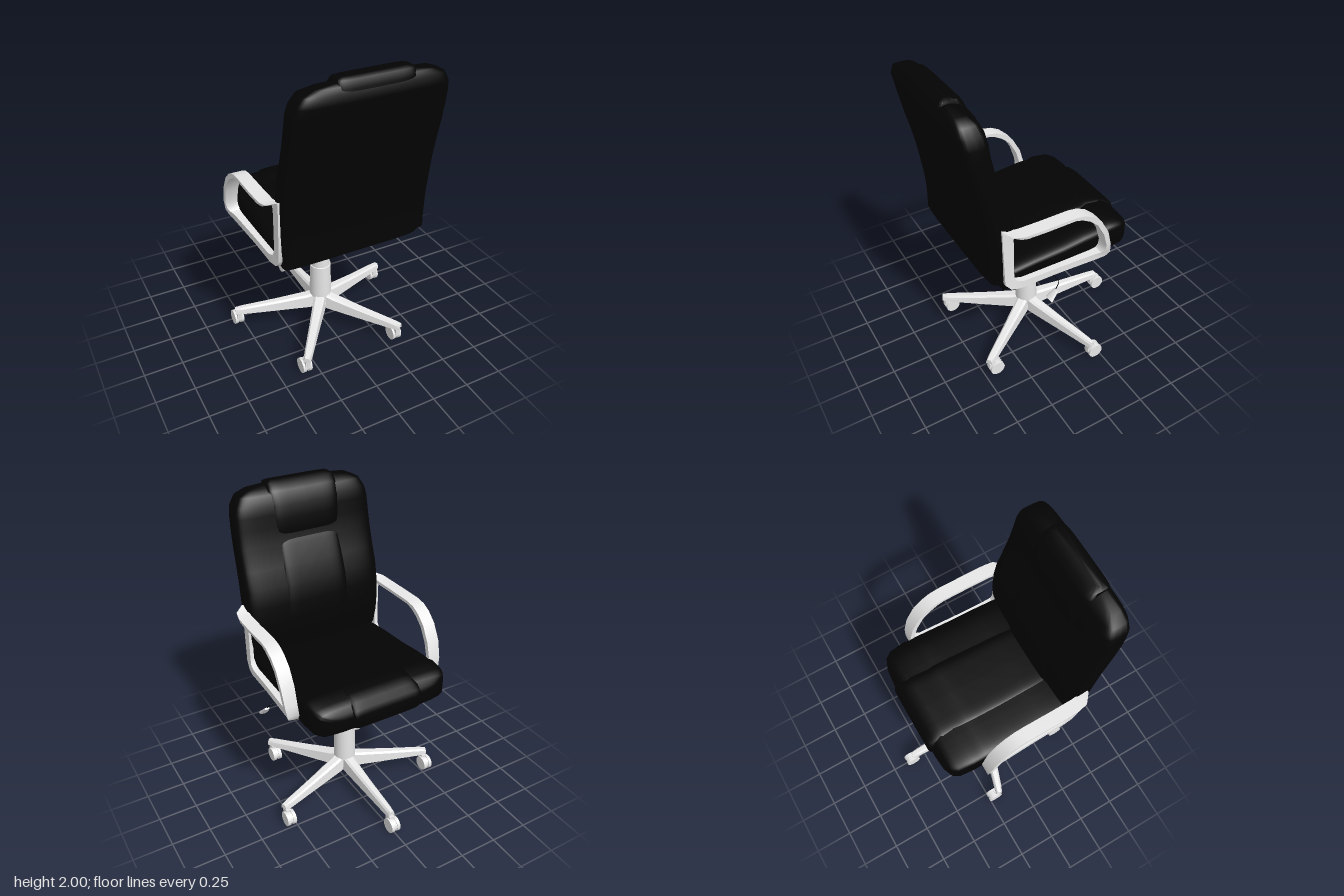
import * as THREE from 'three';
import { toCreasedNormals } from 'three/addons/utils/BufferGeometryUtils.js';

const black = new THREE.MeshStandardMaterial({ color: 0x030303 });
black.name = 'black upholstery';
const grey = new THREE.MeshStandardMaterial({ color: 0xefefef });
grey.name = 'light grey plastic';

function add(parent, name, geometry, material, x = 0, y = 0, z = 0) {
  const mesh = new THREE.Mesh(geometry, material);
  mesh.name = name;
  mesh.position.set(x, y, z);
  parent.add(mesh);
  return mesh;
}

// Joins equal-length rings of points into a skin; open lofts get end caps.
function loft(rings, closed, crease) {
  const n = rings[0].length, pos = [], idx = [];
  rings.forEach(r => r.forEach(p => pos.push(p[0], p[1], p[2])));
  const spans = closed ? rings.length : rings.length - 1;
  for (let i = 0; i < spans; i++) {
    for (let j = 0; j < n; j++) {
      const a = i * n + j, b = i * n + (j + 1) % n;
      const k = ((i + 1) % rings.length) * n;
      const c = k + (j + 1) % n, d = k + j;
      idx.push(a, b, c, a, c, d);
    }
  }
  if (!closed) {
    [0, rings.length - 1].forEach((i, end) => {
      const mid = [0, 1, 2].map(c => rings[i].reduce((s, p) => s + p[c], 0) / n);
      const pole = pos.length / 3;
      pos.push(...mid);
      for (let j = 0; j < n; j++) {
        const a = i * n + j, b = i * n + (j + 1) % n;
        if (end) idx.push(pole, a, b);
        else idx.push(pole, b, a);
      }
    });
  }
  const g = new THREE.BufferGeometry();
  g.setAttribute('position', new THREE.Float32BufferAttribute(pos, 3));
  g.setIndex(idx);
  g.computeVertexNormals();
  return toCreasedNormals(g, crease);
}

// Padded shape: rows of [station, low, high, half width] with rounded-box sections.
function cushion(rows, power, place) {
  const curve = (v) => Math.sign(v) * Math.abs(v) ** (2 / power);
  const rings = rows.map(([t, lo, hi, w]) => {
    const ring = [];
    for (let j = 0; j < 48; j++) {
      const a = j / 48 * Math.PI * 2;
      ring.push(place(w * curve(Math.cos(a)), (lo + hi) / 2 + (hi - lo) / 2 * curve(Math.sin(a)), t));
    }
    return ring;
  });
  return loft(rings, false, 0.9);
}
const upright = (x, b, t) => [x, t, b];
const flat = (x, b, t) => [x, b, t];

function buildUpholstery(chair) {
  add(chair, 'backrest', cushion([
    [1.978, 0.56, 0.6, 0.22], [1.964, 0.52, 0.622, 0.35], [1.935, 0.48, 0.638, 0.415],
    [1.88, 0.455, 0.642, 0.448], [1.82, 0.445, 0.628, 0.461], [1.75, 0.438, 0.613, 0.465],
    [1.63, 0.415, 0.588, 0.468], [1.5, 0.375, 0.558, 0.47], [1.39, 0.335, 0.537, 0.472],
    [1.28, 0.318, 0.52, 0.474], [1.15, 0.31, 0.503, 0.472], [1.05, 0.318, 0.495, 0.47],
    [0.95, 0.34, 0.494, 0.465], [0.89, 0.38, 0.494, 0.46]], 5, upright), black);
  add(chair, 'headPad', cushion([
    [2.0, 0.55, 0.59, 0.2], [1.99, 0.505, 0.62, 0.225], [1.95, 0.472, 0.64, 0.235],
    [1.87, 0.438, 0.63, 0.235], [1.79, 0.43, 0.6, 0.233], [1.71, 0.423, 0.58, 0.228],
    [1.675, 0.43, 0.57, 0.22]], 6, upright), black);
  add(chair, 'lumbarPad', cushion([
    [1.675, 0.43, 0.56, 0.21], [1.63, 0.406, 0.55, 0.215], [1.5, 0.36, 0.53, 0.22],
    [1.39, 0.321, 0.51, 0.225], [1.28, 0.305, 0.49, 0.23], [1.18, 0.298, 0.485, 0.23],
    [1.08, 0.302, 0.48, 0.23], [0.95, 0.325, 0.47, 0.23]], 6, upright), black);
  add(chair, 'seat', cushion([
    [-0.497, 0.86, 0.92, 0.28], [-0.488, 0.83, 0.95, 0.37], [-0.462, 0.81, 0.98, 0.43],
    [-0.42, 0.8, 1.0, 0.455], [-0.32, 0.8, 1.01, 0.465], [-0.275, 0.8, 0.995, 0.463],
    [-0.23, 0.8, 1.0, 0.463], [-0.15, 0.8, 0.994, 0.462], [0, 0.8, 0.976, 0.461],
    [0.2, 0.8, 0.966, 0.459], [0.35, 0.8, 0.952, 0.457], [0.41, 0.8, 0.94, 0.456]], 7, flat), black);
  add(chair, 'seatCentrePad', cushion([
    [-0.514, 0.86, 0.92, 0.22], [-0.505, 0.83, 0.96, 0.232], [-0.47, 0.82, 0.993, 0.235],
    [-0.4, 0.82, 1.013, 0.235], [-0.32, 0.82, 1.018, 0.235], [-0.275, 0.82, 1.003, 0.235],
    [-0.23, 0.82, 1.01, 0.235], [-0.15, 0.82, 1.004, 0.235], [0, 0.82, 0.985, 0.233],
    [0.2, 0.82, 0.974, 0.23], [0.34, 0.82, 0.958, 0.23]], 7, flat), black);
}

// Arm loop: outer z, outer y, inner z, inner y, inside x, outside x, chamfer lift.
function armGeometry(side) {
  const stations = [
    [0.432, 1.285, 0.36, 1.235, 0.465, 0.487], [0.39, 1.265, 0.345, 1.236, 0.465, 0.54],
    [0.33, 1.256, 0.31, 1.236, 0.468, 0.552],
    [0.2, 1.255, 0.2, 1.235, 0.47, 0.555], [0, 1.255, 0, 1.235, 0.47, 0.555],
    [-0.06, 1.245, -0.045, 1.222, 0.47, 0.555], [-0.12, 1.215, -0.1, 1.19, 0.47, 0.555],
    [-0.18, 1.16, -0.155, 1.14, 0.47, 0.555], [-0.235, 1.06, -0.205, 1.05, 0.47, 0.555],
    [-0.265, 0.95, -0.235, 0.95, 0.47, 0.55], [-0.272, 0.88, -0.235, 0.905, 0.465, 0.54],
    [-0.25, 0.835, -0.22, 0.885, 0.455, 0.525, 0.01], [-0.2, 0.81, -0.18, 0.878, 0.45, 0.512, 0.022],
    [0.1, 0.81, 0.1, 0.878, 0.45, 0.5, 0.025], [0.32, 0.81, 0.3, 0.88, 0.45, 0.495, 0.022],
    [0.38, 0.833, 0.345, 0.895, 0.455, 0.49, 0.01], [0.418, 0.89, 0.36, 0.93, 0.46, 0.485],
    [0.425, 1.1, 0.36, 1.1, 0.46, 0.484], [0.428, 1.22, 0.36, 1.2, 0.462, 0.484]];
  const rings = stations.map(([oz, oy, iz, iy, xi, xo, lift = 0]) => {
    const ring = [[xi, oy, oz], [xo, oy + lift, oz], [xo, iy, iz], [xi, iy, iz]];
    return side > 0 ? ring : ring.map(p => [-p[0], p[1], p[2]]).reverse();
  });
  return loft(rings, true, 0.7);
}

function buildBase(chair) {
  const base = new THREE.Group();
  base.name = 'starBase';
  chair.add(base);
  // Legs are tapered channels, hollow below.
  const section = (r, w, top, bottom) => [
    [w, bottom], [w * 0.85, top - 0.012], [w * 0.5, top], [-w * 0.5, top], [-w * 0.85, top - 0.012],
    [-w, bottom], [-w * 0.75, bottom], [-w * 0.5, top - 0.025], [w * 0.5, top - 0.025], [w * 0.75, bottom],
  ].map(([x, y]) => [x, y, r]);
  const legGeometry = loft([
    section(0.03, 0.045, 0.228, 0.125), section(0.1, 0.042, 0.21, 0.12),
    section(0.3, 0.034, 0.182, 0.113), section(0.54, 0.027, 0.154, 0.108),
    section(0.588, 0.022, 0.146, 0.11)], false, 0.5);
  const wheel = new THREE.CylinderGeometry(0.049, 0.049, 0.022, 24).rotateZ(Math.PI / 2);
  const core = new THREE.CylinderGeometry(0.044, 0.044, 0.03, 24).rotateZ(Math.PI / 2);
  for (let i = 0; i < 5; i++) {
    const angle = Math.PI + i * Math.PI * 2 / 5;
    add(base, 'leg', legGeometry, grey).rotation.y = angle;
    const caster = new THREE.Group();
    caster.name = 'caster';
    caster.position.set(Math.sin(angle) * 0.563, 0, Math.cos(angle) * 0.563);
    base.add(caster);
    add(caster, 'stem', new THREE.CylinderGeometry(0.016, 0.016, 0.07, 12), grey, 0, 0.095, 0.005);
    add(caster, 'hood', new THREE.BoxGeometry(0.034, 0.05, 0.05), grey, 0, 0.08, -0.008);
    add(caster, 'wheelCore', core, grey, 0, 0.05, -0.036);
    for (const s of [-1, 1]) add(caster, 'wheel', wheel, grey, s * 0.02, 0.049, -0.036);
  }
  add(base, 'hub', new THREE.CylinderGeometry(0.062, 0.075, 0.085, 24), grey, 0, 0.187, 0);

  // Telescopic column with stepped sleeves.
  const profile = [[0, 0.21], [0.073, 0.21], [0.073, 0.24], [0.069, 0.45], [0.063, 0.452], [0.06, 0.565],
    [0.056, 0.57], [0.056, 0.66], [0.052, 0.67], [0, 0.67]].map(p => new THREE.Vector2(...p));
  add(chair, 'column', toCreasedNormals(new THREE.LatheGeometry(profile, 32), 0.6), grey, 0, 0, -0.004);
  add(chair, 'piston', new THREE.CylinderGeometry(0.04, 0.034, 0.08, 24), black, 0, 0.7, -0.004);
}

function buildMechanism(chair) {
  const housing = new THREE.Shape([[0.09, 0.73], [0.18, 0.79], [0.18, 0.805], [-0.3, 0.805], [-0.3, 0.785],
    [-0.2, 0.75], [-0.1, 0.725]].map(([z, y]) => new THREE.Vector2(-z, y)));
  const body = new THREE.ExtrudeGeometry(housing, { depth: 0.16, bevelEnabled: false });
  body.translate(0, 0, -0.08).rotateY(Math.PI / 2);
  add(chair, 'tiltHousing', body, black);
  add(chair, 'mountPlate', new THREE.BoxGeometry(0.37, 0.022, 0.3), black, 0, 0.79, -0.04);

  // Tension knob under the front of the seat.
  const knob = add(chair, 'tensionKnob', new THREE.CylinderGeometry(0.031, 0.036, 0.11, 16), grey, 0, 0.66, -0.2);
  knob.rotation.x = 0.3;
  const shaft = add(chair, 'knobShaft', new THREE.CylinderGeometry(0.018, 0.018, 0.08, 12), black, 0, 0.735, -0.177);
  shaft.rotation.x = 0.3;

  // Height lever.
  const path = new THREE.CurvePath();
  const pts = [[0.05, 0.76, 0.06], [0.5, 0.76, 0.06], [0.51, 0.715, 0.095]].map(p => new THREE.Vector3(...p));
  path.add(new THREE.LineCurve3(pts[0], pts[1]));
  path.add(new THREE.LineCurve3(pts[1], pts[2]));
  add(chair, 'leverRod', new THREE.TubeGeometry(path, 24, 0.0025, 6), black);
  const paddle = add(chair, 'leverPaddle', new THREE.CylinderGeometry(0.018, 0.034, 0.075, 10), grey, 0.512, 0.692, 0.112);
  paddle.scale.z = 0.4;
  paddle.rotation.x = -0.75;
}

export function createModel() {
  const chair = new THREE.Group();
  chair.name = 'officeChair';
  buildUpholstery(chair);
  add(chair, 'leftArm', armGeometry(1), grey);
  add(chair, 'rightArm', armGeometry(-1), grey);
  buildBase(chair);
  buildMechanism(chair);
  return chair;
}
